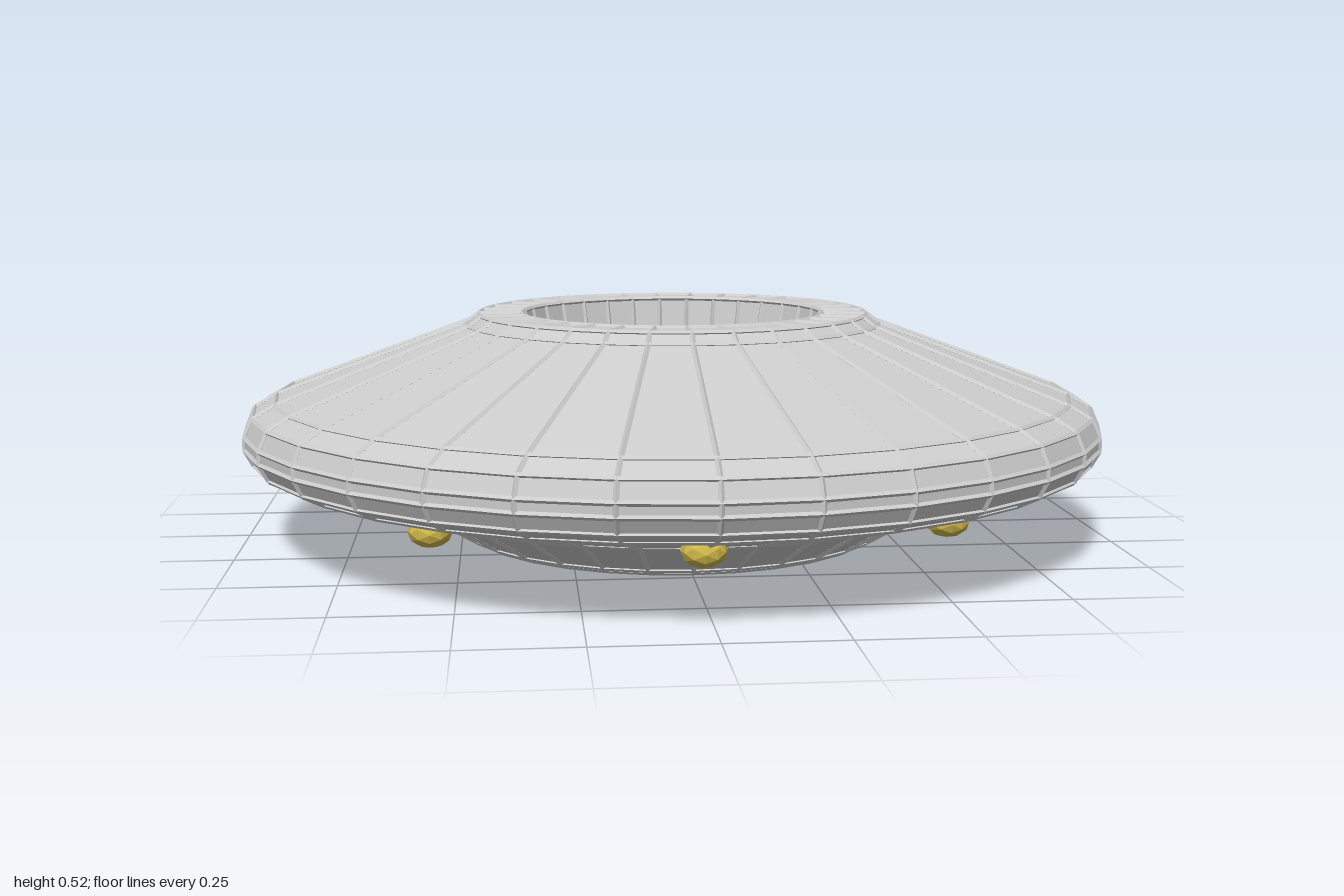
import * as THREE from 'three';
import { mergeGeometries } from 'three/addons/utils/BufferGeometryUtils.js';

const SIDES = 32;
const SEAM = 0.006;

// Hull section [radius, height]: underside recess, lip, belly, rim, deck, coaming, well
const SECTION = [
  [0.365, 0.06], [0.445, 0.016], [0.46, 0.006], [0.48, 0.006], [0.5, 0.016],
  [0.63, 0.095], [0.925, 0.175], [0.974, 0.2], [0.994, 0.236], [0.994, 0.264],
  [0.976, 0.306], [0.925, 0.335], [0.485, 0.497], [0.455, 0.519],
  [0.355, 0.519], [0.337, 0.43], [0.26, 0.365],
].map(([r, y]) => new THREE.Vector2(r, y));

// Thin square rod between two section points, in the x-y plane
function rod(a, b) {
  const dir = b.clone().sub(a);
  const g = new THREE.CylinderGeometry(SEAM, SEAM, dir.length(), 4, 1, true);
  g.rotateZ(Math.atan2(dir.y, dir.x) - Math.PI / 2);
  return g.translate((a.x + b.x) / 2, (a.y + b.y) / 2, 0);
}

export function createModel() {
  const model = new THREE.Group();
  model.name = 'flyingSaucer';
  const grey = new THREE.MeshStandardMaterial({ color: 0xcccccc, flatShading: true });
  const gold = new THREE.MeshStandardMaterial({ color: 0xd0b84a, flatShading: true });

  const add = (name, geometry, material, parent = model) => {
    const mesh = new THREE.Mesh(geometry, material);
    mesh.name = name;
    parent.add(mesh);
    return mesh;
  };

  // Faceted hull, closed by the two flat floors
  const first = SECTION[0], last = SECTION[SECTION.length - 1];
  const profile = [new THREE.Vector2(0, first.y), ...SECTION, new THREE.Vector2(0, last.y)];
  add('hull', new THREE.LatheGeometry(profile, SIDES), grey);

  // Raised seams along every panel edge
  const seams = new THREE.Group();
  seams.name = 'panelSeams';
  model.add(seams);
  const rib = mergeGeometries(SECTION.slice(1).map((p, i) => rod(SECTION[i], p)));
  for (let i = 0; i < SIDES; i++) {
    add('ribSeam', rib, grey, seams).rotation.y = (i / SIDES) * Math.PI * 2;
  }
  for (const p of SECTION) {
    const ring = new THREE.TorusGeometry(p.x, SEAM, 4, SIDES).rotateX(Math.PI / 2);
    add('ringSeam', ring.translate(0, p.y, 0), grey, seams);
  }

  // Eight flattened lamps under the belly
  const lamp = new THREE.IcosahedronGeometry(0.048, 1).scale(1, 0.75, 1);
  for (let i = 0; i < 8; i++) {
    const a = (i / 8) * Math.PI * 2;
    add('bellyLamp', lamp, gold)
      .position.set(0.77 * Math.sin(a) - 0.008, 0.124, 0.77 * Math.cos(a));
  }
  return model;
}
